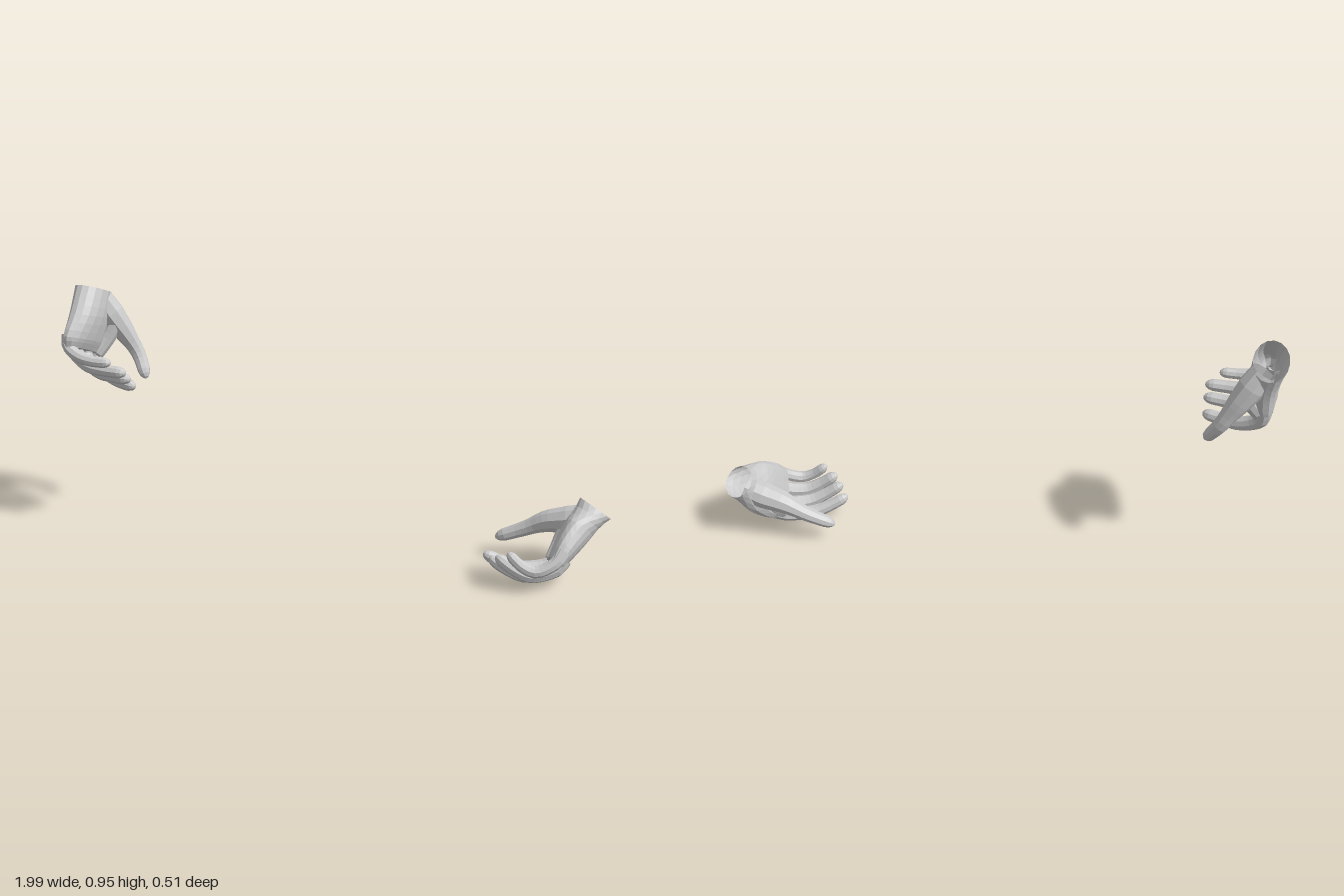
import * as THREE from 'three';

const V = (a) => new THREE.Vector3(...a);
const curve = (pts) => new THREE.CatmullRomCurve3(pts.map(V), false, 'centripetal');
const skin = new THREE.MeshStandardMaterial({ color: 0xcccccc, flatShading: true, side: THREE.DoubleSide });

// Skin over a row of rings with equal point counts; the far end is closed.
function loft(rings, name) {
  const n = rings[0].length, pos = [], idx = [];
  rings.forEach((r) => r.forEach((p) => pos.push(p.x, p.y, p.z)));
  for (let i = 0; i < rings.length - 1; i++) {
    for (let j = 0; j < n; j++) {
      const a = i * n + j, b = i * n + (j + 1) % n;
      idx.push(a, b, a + n, b, b + n, a + n);
    }
  }
  const last = rings[rings.length - 1], mid = new THREE.Vector3();
  last.forEach((p) => mid.addScaledVector(p, 1 / n));
  pos.push(mid.x, mid.y, mid.z);
  const base = (rings.length - 1) * n;
  for (let j = 0; j < n; j++) idx.push(base + j, base + (j + 1) % n, base + n);
  const geo = new THREE.BufferGeometry();
  geo.setAttribute('position', new THREE.Float32BufferAttribute(pos, 3));
  geo.setIndex(idx);
  geo.computeVertexNormals();
  const mesh = new THREE.Mesh(geo, skin);
  mesh.name = name;
  return mesh;
}

// Rounded-box ring around c with half axes l and t
function ring(c, l, t, n, power = 1) {
  const soft = (v) => Math.sign(v) * Math.abs(v) ** power;
  return Array.from({ length: n }, (_, j) => {
    const a = (j / n) * Math.PI * 2;
    return c.clone().addScaledVector(l, soft(Math.cos(a))).addScaledVector(t, soft(Math.sin(a)));
  });
}

// Tapering digit along a path with a domed tip; radii are spread evenly along it
function digit(name, pts, radii, steps = 12) {
  const path = curve(pts), f = path.computeFrenetFrames(100), rings = [];
  const stops = Array.from({ length: steps }, (_, i) => (i / steps) * 0.9).concat([0.9, 0.95, 0.985, 0.998]);
  for (const u of stops) {
    const s = u * (radii.length - 1), k = Math.min(Math.floor(s), radii.length - 2);
    const dome = u > 0.88 ? Math.sqrt(1 - ((u - 0.88) / 0.12) ** 2) : 1;
    const r = THREE.MathUtils.lerp(radii[k], radii[k + 1], s - k) * dome;
    const q = Math.round(u * 100);
    rings.push(ring(path.getPointAt(u), f.normals[q].clone().multiplyScalar(r),
      f.binormals[q].clone().multiplyScalar(r), 9));
  }
  return loft(rings, name);
}

// Palm: sections are [centre, half width, half thickness], from open wrist to knuckles
function palm(sections) {
  const [c, l, t] = [0, 1, 2].map((k) => curve(sections.map((s) => s[k])));
  const rings = [];
  for (let i = 0; i <= 9; i++) {
    const u = i / 9;
    rings.push(ring(c.getPoint(u), l.getPoint(u), t.getPoint(u), 16, 1 - 0.25 * u));
  }
  return loft(rings, 'palm');
}

function hand(name, d) {
  const g = new THREE.Group();
  g.name = name;
  g.add(palm(d.palm));
  for (const finger of ['index', 'middle', 'ring', 'little']) {
    const k = finger === 'little' ? 0.85 : 1;
    g.add(digit(finger + 'Finger', d[finger], [0.032, 0.027, 0.026, 0.023, 0.022].map((r) => r * k)));
  }
  g.add(digit('thumb', d.thumb, [0.045, 0.05, 0.042, 0.03, 0.025, 0.023], 14));
  g.add(digit('thumbWeb', d.web, [0.03, 0.028, 0.028], 6));
  return g;
}

// Hanging hand, palm towards +x
const raised = {
  palm: [
    [[-0.935, 0.915, 0.025], [0, 0.036, 0.076], [-0.062, 0, 0]],
    [[-0.925, 0.83, 0.08], [0, 0.035, 0.1], [-0.054, 0, 0.003]],
    [[-0.93, 0.75, 0.125], [0, 0.045, 0.113], [-0.042, 0, 0.002]],
    [[-0.935, 0.705, 0.137], [0, 0.045, 0.1], [-0.03, -0.012, 0]],
  ],
  index: [[-0.93, 0.7, 0.045], [-0.925, 0.655, 0.055], [-0.86, 0.61, 0.08], [-0.79, 0.597, 0.11], [-0.72, 0.597, 0.135]],
  middle: [[-0.94, 0.73, 0.105], [-0.935, 0.685, 0.115], [-0.87, 0.645, 0.145], [-0.79, 0.637, 0.165], [-0.715, 0.638, 0.175]],
  ring: [[-0.945, 0.76, 0.16], [-0.94, 0.715, 0.17], [-0.88, 0.68, 0.192], [-0.8, 0.672, 0.203], [-0.715, 0.672, 0.205]],
  little: [[-0.945, 0.79, 0.2], [-0.94, 0.75, 0.215], [-0.89, 0.722, 0.23], [-0.83, 0.712, 0.234], [-0.76, 0.713, 0.23]],
  thumb: [[-0.915, 0.88, 0.012], [-0.875, 0.81, -0.005], [-0.83, 0.735, -0.022], [-0.79, 0.665, -0.03], [-0.745, 0.583, 0.002]],
  web: [[-0.86, 0.79, 0.005], [-0.885, 0.735, 0.025], [-0.925, 0.67, 0.06]],
};

// Resting hand, palm up and towards -x
const lowered = {
  palm: [
    [[0.937, 0.245, -0.195], [0.051, 0, 0.051], [-0.033, 0.038, 0.033]],
    [[0.895, 0.185, -0.135], [0.025, 0.05, 0.08], [-0.045, 0.033, 0.015]],
    [[0.86, 0.122, -0.07], [0.025, 0.062, 0.088], [-0.037, 0.022, 0]],
    [[0.84, 0.087, -0.028], [0.026, 0.05, 0.082], [-0.028, 0.016, 0]],
  ],
  index: [[0.84, 0.065, -0.115], [0.8, 0.04, -0.095], [0.71, 0.033, -0.055], [0.65, 0.055, -0.03], [0.585, 0.092, -0.002]],
  middle: [[0.86, 0.085, -0.065], [0.835, 0.05, -0.045], [0.745, 0.035, 0.003], [0.685, 0.06, 0.028], [0.62, 0.105, 0.048]],
  ring: [[0.87, 0.115, -0.015], [0.85, 0.08, 0.003], [0.77, 0.057, 0.042], [0.715, 0.08, 0.06], [0.65, 0.127, 0.073]],
  little: [[0.875, 0.155, 0.01], [0.855, 0.12, 0.04], [0.795, 0.09, 0.072], [0.75, 0.105, 0.082], [0.695, 0.153, 0.086]],
  thumb: [[0.915, 0.215, -0.185], [0.845, 0.19, -0.185], [0.765, 0.168, -0.187], [0.685, 0.127, -0.182], [0.583, 0.082, -0.166]],
  web: [[0.84, 0.16, -0.165], [0.825, 0.105, -0.14], [0.81, 0.05, -0.1]],
};

export function createModel() {
  const group = new THREE.Group();
  group.name = 'hands';
  group.add(hand('rightHand', raised), hand('leftHand', lowered));
  return group;
}
